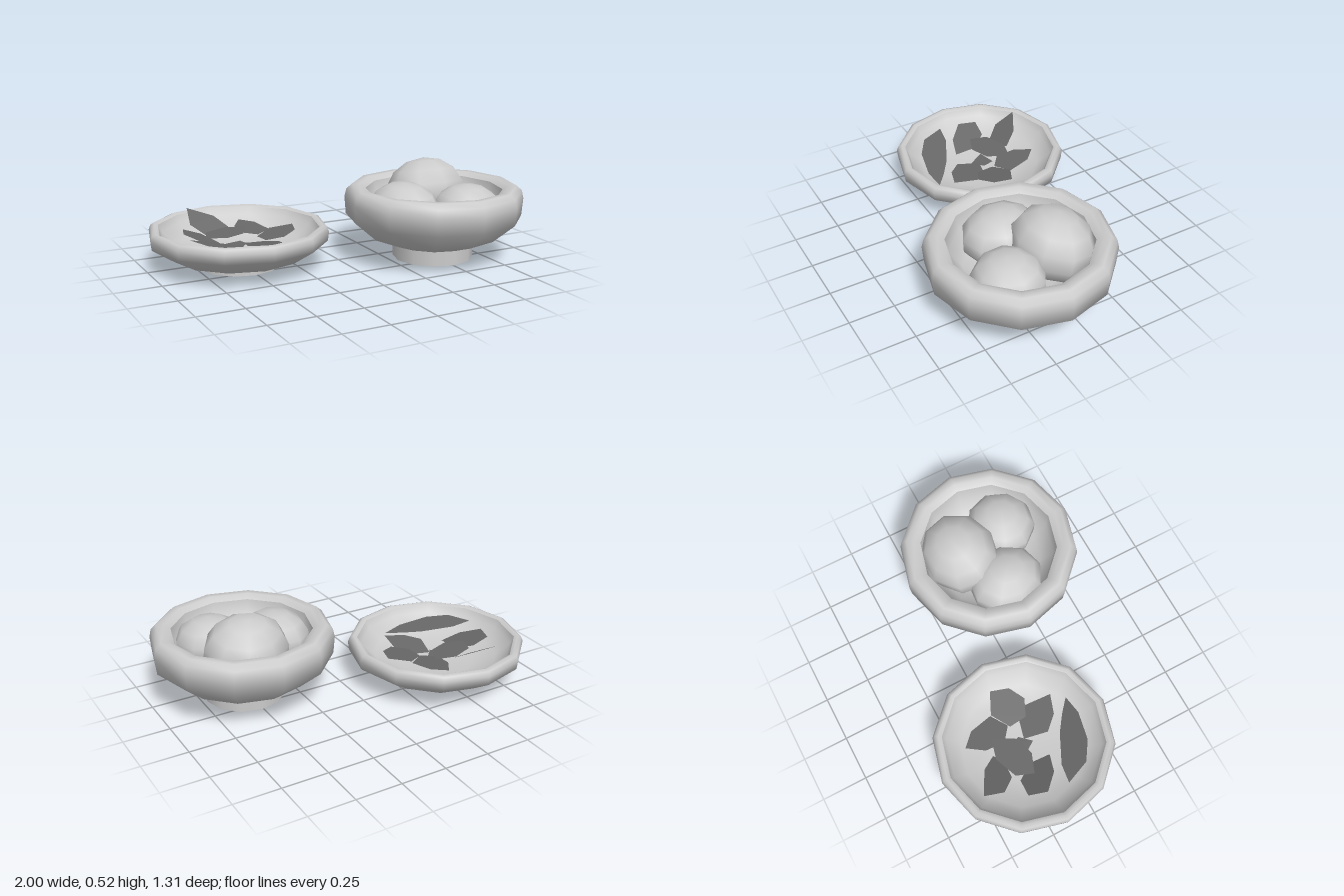
import * as THREE from 'three';

const ceramic = new THREE.MeshStandardMaterial({ color: 0xcccccc });
ceramic.name = 'pale grey';
const leafMat = new THREE.MeshStandardMaterial({ color: 0x686868, side: THREE.DoubleSide });
leafMat.name = 'dark grey';

function add(parent, name, geometry, material) {
  const mesh = new THREE.Mesh(geometry, material);
  mesh.name = name;
  parent.add(mesh);
  return mesh;
}

const lathe = (profile) =>
  new THREE.LatheGeometry(profile.map(([r, y]) => new THREE.Vector2(r, y)), 12);

// Twelve-sided dish: foot ring, outer wall with rolled rim, inner basin
function makeDish(name, x, z, footHeight, outer, inner) {
  const dish = new THREE.Group();
  dish.name = name;
  dish.position.set(x, 0, z);
  const foot = add(dish, 'foot', new THREE.CylinderGeometry(0.22, 0.22, footHeight, 12), ceramic);
  foot.position.y = footHeight / 2;
  add(dish, 'outerWall', lathe(outer), ceramic);
  add(dish, 'basin', lathe(inner), ceramic);
  return dish;
}

// Flat leaf: outline of [x, z] points lying on a tilted plane
function leafGeometry(outline, height, slopeX, slopeZ) {
  const shape = new THREE.Shape(outline.map(([x, z]) => new THREE.Vector2(x, -z)));
  const g = new THREE.ShapeGeometry(shape).rotateX(-Math.PI / 2);
  const p = g.attributes.position;
  const [x0, z0] = outline[0];
  for (let i = 0; i < p.count; i++) {
    p.setY(i, height + slopeX * (p.getX(i) - x0) + slopeZ * (p.getZ(i) - z0));
  }
  g.computeVertexNormals();
  return g;
}

export function createModel() {
  const model = new THREE.Group();
  model.name = 'servingDishes';

  model.add(makeDish('shallowDish', -0.515, -0.17, 0.03,
    [[0.2, 0.03], [0.22, 0.03], [0.36, 0.062], [0.48, 0.14], [0.486, 0.19], [0.475, 0.217], [0.455, 0.225], [0.435, 0.215]],
    [[0.435, 0.215], [0.415, 0.175], [0.34, 0.11], [0.2, 0.075], [0, 0.07]]));

  model.add(makeDish('deepBowl', 0.505, 0.16, 0.08,
    [[0.2, 0.08], [0.22, 0.08], [0.36, 0.13], [0.482, 0.235], [0.49, 0.33], [0.48, 0.375], [0.45, 0.402], [0.41, 0.402], [0.375, 0.38]],
    [[0.375, 0.38], [0.36, 0.3], [0.29, 0.21], [0.18, 0.16], [0, 0.15]]));

  // Rounded scoops: centre, radii, turn, tilt
  const scoops = [
    [[0.555, 0.335, 0.005], [0.235, 0.185, 0.21], 0.2, -0.2],
    [[0.315, 0.285, 0.165], [0.19, 0.15, 0.215], 0.1, 0.05],
    [[0.63, 0.275, 0.3], [0.195, 0.145, 0.195], 0.35, 0.05],
  ];
  for (const [centre, radii, turn, tilt] of scoops) {
    const scoop = add(model, 'scoop', new THREE.SphereGeometry(1, 9, 7), ceramic);
    scoop.scale.set(...radii);
    scoop.rotation.set(tilt, turn, 0);
    scoop.position.set(...centre);
  }

  // Leaves: outline, height at the first point, slope along x and z
  const leaves = [
    [[[-0.69, -0.5], [-0.56, -0.43], [-0.505, -0.35], [-0.56, -0.31], [-0.65, -0.315], [-0.71, -0.39]], 0.26, 0, -0.62],
    [[[-0.4, -0.46], [-0.33, -0.39], [-0.3, -0.26], [-0.39, -0.2], [-0.465, -0.26], [-0.46, -0.37]], 0.17, 0, -0.1],
    [[[-0.185, -0.2], [-0.215, -0.1], [-0.3, -0.05], [-0.39, -0.09], [-0.4, -0.19], [-0.3, -0.255]], 0.18, 0.2, 0],
    [[[-0.49, -0.155], [-0.39, -0.13], [-0.33, -0.065], [-0.345, 0.085], [-0.45, 0.05], [-0.52, -0.025]], 0.12, 0, 0.15],
    [[[-0.825, -0.07], [-0.72, -0.055], [-0.56, 0.025], [-0.47, 0.09], [-0.395, 0.155], [-0.505, 0.17], [-0.665, 0.135], [-0.77, 0.065]], 0.2, -0.18, 0.04],
    [[[-0.785, -0.29], [-0.69, -0.285], [-0.625, -0.19], [-0.63, -0.075], [-0.73, -0.105], [-0.815, -0.19]], 0.2, -0.35, -0.1],
    [[[-0.69, -0.2], [-0.655, -0.295], [-0.53, -0.345], [-0.42, -0.315], [-0.475, -0.2], [-0.585, -0.16]], 0.16, 0, -0.05],
    [[[-0.585, -0.215], [-0.48, -0.24], [-0.465, -0.175], [-0.52, -0.115]], 0.11, 0, 0],
  ];
  for (const leaf of leaves) add(model, 'leaf', leafGeometry(...leaf), leafMat);

  return model;
}
